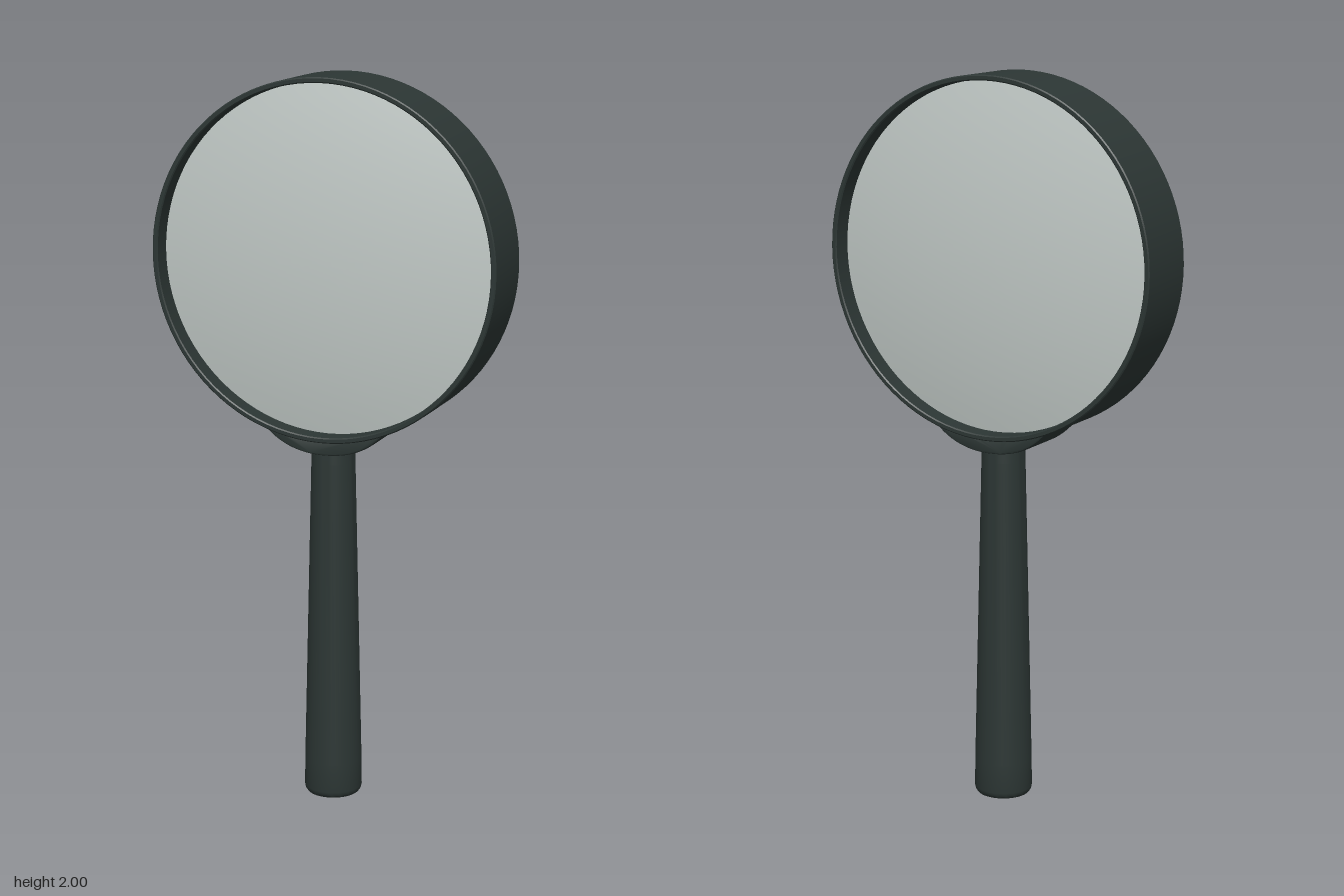
import * as THREE from 'three';
import { toCreasedNormals } from 'three/addons/utils/BufferGeometryUtils.js';

const CENTRE_Y = 1.515;
const RIM_RADIUS = 0.485;

// Solid of revolution about y with sharp edges kept
function turned(profile, segments) {
  const points = profile.map(([r, y]) => new THREE.Vector2(r, y));
  return toCreasedNormals(new THREE.LatheGeometry(points, segments), 0.6);
}

export function createModel() {
  const model = new THREE.Group();
  model.name = 'magnifyingGlass';

  const casing = new THREE.MeshStandardMaterial({ color: 0x2c3634 });
  casing.name = 'dark casing';
  const glass = new THREE.MeshStandardMaterial({ color: 0xc2cac7 });
  glass.name = 'pale glass';

  function add(name, geometry, material) {
    const mesh = new THREE.Mesh(geometry, material);
    mesh.name = name;
    model.add(mesh);
    return mesh;
  }

  // Rim: thin deep band, turned to face the front
  const rim = add('rim', turned([
    [0.47, -0.097], [0.473, -0.1], [0.482, -0.1], [RIM_RADIUS, -0.097],
    [RIM_RADIUS, 0.097], [0.482, 0.1], [0.473, 0.1], [0.47, 0.097], [0.47, -0.097],
  ], 96), casing);
  rim.rotation.x = Math.PI / 2;
  rim.position.y = CENTRE_Y;

  // Lens: convex on both faces, set inside the rim
  const lensEdge = 0.472, edgeZ = 0.045, bulge = 0.045, steps = 12;
  const half = [];
  for (let i = 0; i <= steps; i++) {
    const t = i / steps;
    half.push([lensEdge * t, edgeZ + bulge * (1 - t * t)]);
  }
  const lensProfile = [
    ...half.map(([r, z]) => [r, -z]),
    ...half.slice().reverse(),
  ];
  const lens = add('lens', turned(lensProfile, 96), glass);
  lens.rotation.x = Math.PI / 2;
  lens.position.y = CENTRE_Y;

  // Collar: rounded cradle whose top follows the rim
  const cradle = new THREE.Shape();
  cradle.moveTo(-0.17, 1.065);
  cradle.bezierCurveTo(-0.12, 1.01, -0.06, 0.995, 0, 0.995);
  cradle.bezierCurveTo(0.06, 0.995, 0.12, 1.01, 0.17, 1.065);
  const spread = Math.asin(0.17 / 0.479);
  cradle.absarc(0, CENTRE_Y, 0.479, -Math.PI / 2 + spread, -Math.PI / 2 - spread, true);
  const collar = new THREE.ExtrudeGeometry(cradle, {
    depth: 0.14, curveSegments: 20,
    bevelEnabled: true, bevelThickness: 0.01, bevelSize: 0.005, bevelSegments: 3,
  });
  collar.translate(0, 0, -0.07);
  add('collar', toCreasedNormals(collar, 0.6), casing);

  // Handle: tapered grip with a softened butt
  add('handle', turned([
    [0, 0], [0.066, 0], [0.073, 0.003], [0.078, 0.01], [0.08, 0.02],
    [0.079, 0.1], [0.06, 0.96], [0.059, 1.005], [0, 1.005],
  ], 40), casing);

  return model;
}
